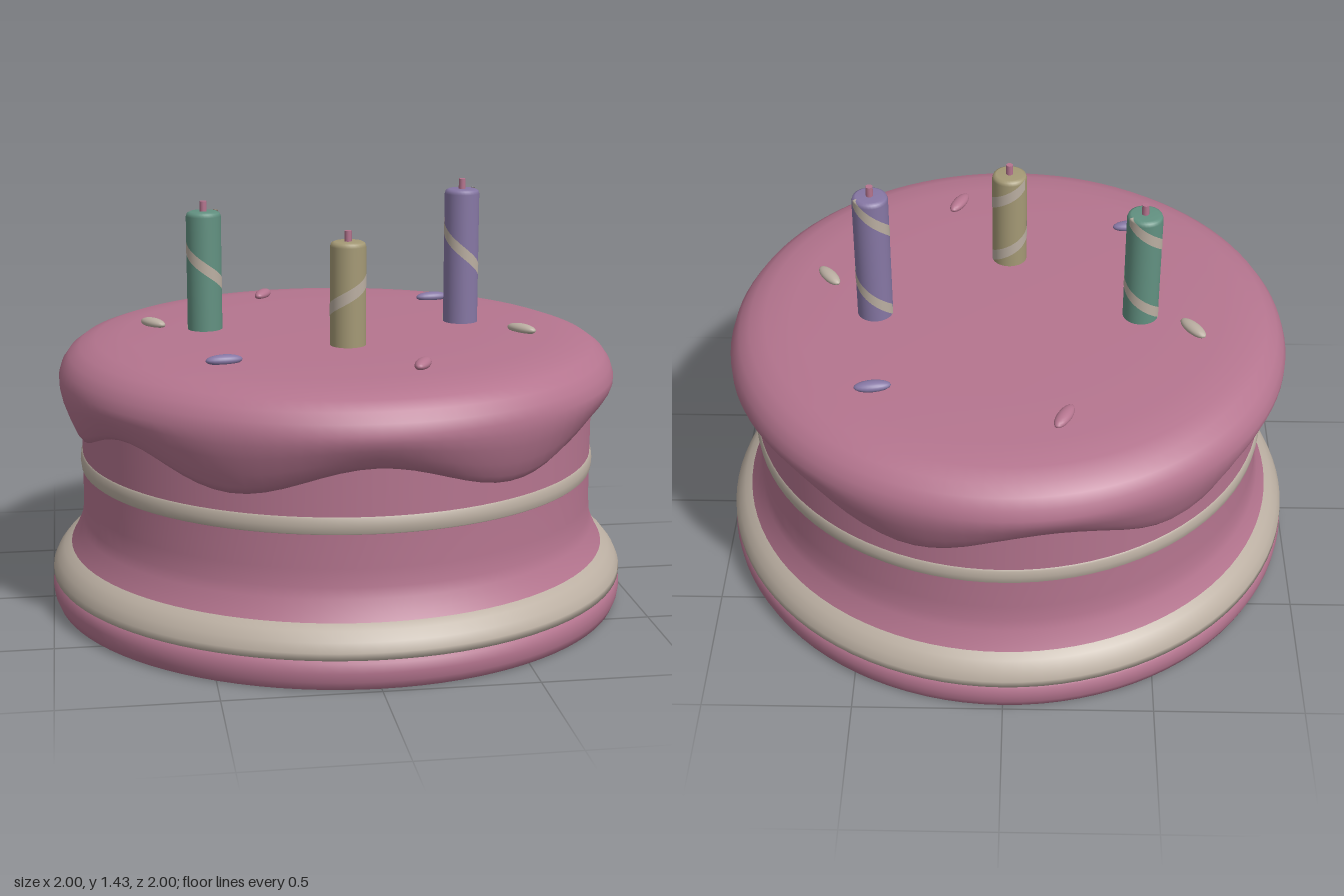
import * as THREE from 'three';
import { mergeVertices } from 'three/addons/utils/BufferGeometryUtils.js';

const SEGMENTS = 96;
const rad = THREE.MathUtils.degToRad;

function material(name, color, side = THREE.FrontSide) {
  const m = new THREE.MeshStandardMaterial({ color, side });
  m.name = name;
  return m;
}

function lathe(points, segments = SEGMENTS) {
  return new THREE.LatheGeometry(points.map(([r, y]) => new THREE.Vector2(r, y)), segments);
}

function addMesh(parent, name, geometry, mat) {
  const mesh = new THREE.Mesh(geometry, mat);
  mesh.name = name;
  parent.add(mesh);
  return mesh;
}

// Height of the dripping hem around the cake, six slightly uneven lobes
function hemHeight(a) {
  const phase = a - rad(5) * (1 - Math.cos(a));
  return 0.633 + 0.047 * Math.cos(6 * phase);
}

// Frosting cap: lathe whose lower part is stretched down to the wavy hem
function frostingGeometry() {
  const top = 0.8, low = 0.59;
  let g = lathe([
    [0.86, 0.61], [0.885, 0.59], [0.905, 0.615], [0.925, 0.66], [0.945, 0.715],
    [0.955, 0.76], [0.956, 0.8], [0.945, 0.835], [0.922, 0.868], [0.885, 0.895],
    [0.83, 0.914], [0.73, 0.927], [0.5, 0.932], [0, 0.935],
  ]);
  g.deleteAttribute('uv');
  g.deleteAttribute('normal');
  const p = g.attributes.position;
  for (let i = 0; i < p.count; i++) {
    const y = p.getY(i);
    if (y >= top) continue;
    const hem = hemHeight(Math.atan2(p.getX(i), p.getZ(i)));
    p.setY(i, top - (top - y) * (top - hem) / (top - low));
  }
  g = mergeVertices(g, 1e-5);
  g.computeVertexNormals();
  return g;
}

// Ribbon wound around a candle, folding over its top edge where it reaches it
function ribbonGeometry(a0, y0, a1, y1, top) {
  const g = new THREE.PlaneGeometry(1, 1, 48, 6);
  const p = g.attributes.position;
  for (let i = 0; i < p.count; i++) {
    const t = p.getX(i) + 0.5;
    const a = rad(a0 + (a1 - a0) * t);
    const y = y0 + (y1 - y0) * t + p.getY(i) * 0.042;
    const over = Math.max(0, y - top);
    const r = 0.061 - over;
    p.setXYZ(i, r * Math.sin(a), y - over, r * Math.cos(a));
  }
  g.computeVertexNormals();
  return g;
}

export function createModel() {
  const cake = new THREE.Group();
  cake.name = 'cake';

  const pink = material('pink', 0xb5758f);
  const cream = material('cream', 0xbbafa2);
  const ribbonCream = material('ribbonCream', 0xbbafa2, THREE.DoubleSide);
  const purple = material('purple', 0x8677a4);
  const green = material('green', 0x629181);
  const yellow = material('yellow', 0xa49975);

  // Base with a hollow conical underside
  addMesh(cake, 'underside', lathe([[0, 0.31], [0.982, 0.002]]), pink);
  addMesh(cake, 'base', lathe([
    [0.96, 0.009], [0.97, 0], [0.985, 0.003], [0.996, 0.03], [1, 0.06], [0.995, 0.09], [0.98, 0.102],
  ]), pink);
  addMesh(cake, 'rim', lathe([
    [0.97, 0.1], [0.997, 0.102], [0.996, 0.125], [0.982, 0.155], [0.958, 0.185], [0.928, 0.202],
  ]), cream);

  // Flared body and its band
  addMesh(cake, 'body', lathe([
    [0.932, 0.2], [0.918, 0.225], [0.9, 0.265], [0.889, 0.3], [0.885, 0.36],
    [0.884, 0.5], [0.884, 0.76],
  ]), pink);
  addMesh(cake, 'bodyBand', lathe([
    [0.882, 0.468], [0.889, 0.474], [0.892, 0.498], [0.889, 0.522], [0.882, 0.528],
  ]), cream);

  addMesh(cake, 'frosting', frostingGeometry(), pink);

  // Candles: x, z, top height, colour, ribbon start angle, winding, start drop
  const candles = [
    [-0.45, -0.055, 1.34, green, 120, 1, 0.005],
    [0, 0.275, 1.28, yellow, 240, -1, 0.025],
    [0.45, -0.055, 1.4, purple, 120, 1, 0.005],
  ];
  const floor = 0.92;
  for (const [x, z, top, mat, start, turn, drop] of candles) {
    const candle = new THREE.Group();
    candle.name = 'candle';
    candle.position.set(x, 0, z);
    cake.add(candle);
    addMesh(candle, 'candleStick', lathe([
      [0.06, floor], [0.06, top - 0.016], [0.056, top - 0.005], [0.046, top], [0, top],
    ], 32), mat);
    const wick = addMesh(candle, 'wick', new THREE.CylinderGeometry(0.012, 0.012, 0.05, 12), pink);
    wick.position.y = top + 0.01;
    addMesh(candle, 'ribbon', ribbonGeometry(
      start, top - drop, start + turn * 500, floor + 0.03, top + 0.001), ribbonCream);
  }

  // Sprinkles: mirrored in pairs through the centre
  const sprinkles = [
    [0.19, 0.61, 65, pink],
    [0.43, -0.47, 9, purple],
    [0.625, 0.14, -54, cream],
  ];
  const grain = new THREE.SphereGeometry(1, 20, 12);
  for (const [x, z, angle, mat] of sprinkles) {
    for (const s of [1, -1]) {
      const m = addMesh(cake, 'sprinkle', grain, mat);
      m.position.set(s * x, 0.939, s * z);
      m.scale.set(0.061, 0.018, 0.024);
      m.rotation.y = rad(angle);
    }
  }
  return cake;
}
